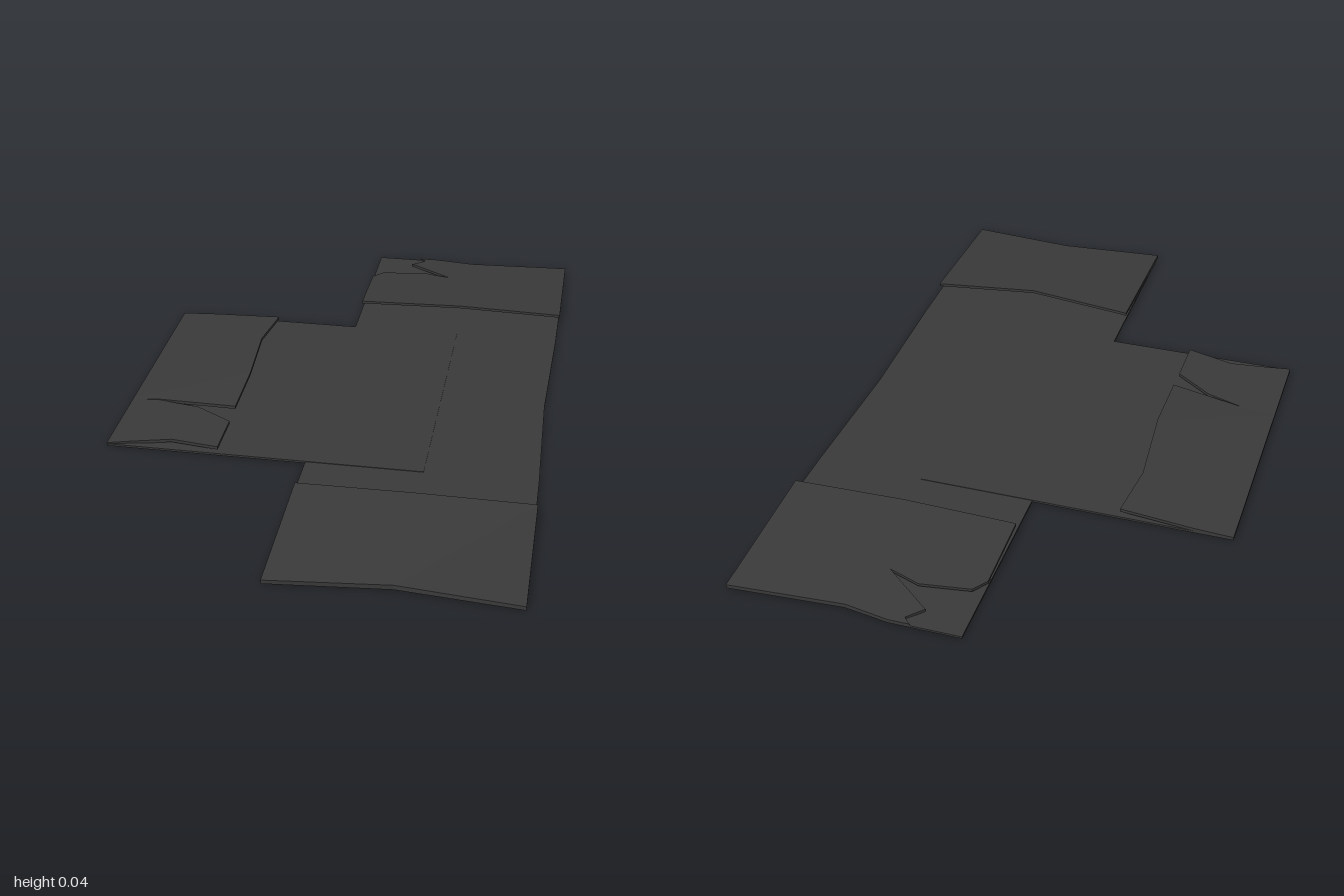
import * as THREE from 'three';

const material = new THREE.MeshStandardMaterial({ color: 0x3a3a3a, flatShading: true, side: THREE.DoubleSide });
const lerp = THREE.MathUtils.lerp;

// Thin sheet with a plan outline of [x, z] points, its top following height(x, z)
function sheet(name, outline, thickness, height) {
  const shape = new THREE.Shape(outline.map(([x, z]) => new THREE.Vector2(x, -z)));
  const geometry = new THREE.ExtrudeGeometry(shape, { depth: 1, bevelEnabled: false });
  geometry.rotateX(-Math.PI / 2);
  const p = geometry.attributes.position;
  for (let i = 0; i < p.count; i++) {
    const top = height(p.getX(i), p.getZ(i));
    p.setY(i, Math.max(0, top - thickness * (1 - p.getY(i))));
  }
  geometry.computeVertexNormals();
  const mesh = new THREE.Mesh(geometry, material);
  mesh.name = name;
  return mesh;
}

// Ramp height: low at the outer edge, rising to a crowned inner edge
function ramp(outer, inner, side, crown) {
  return (along, across) => {
    const t = (along - outer) / (inner - outer);
    return lerp(0.011, lerp(crown, side, Math.min(1, across)), t);
  };
}

export function createModel() {
  const group = new THREE.Group();
  const ridge = 0.285;

  // Flat base: a long strip crossed by a shorter one
  group.add(sheet('longStrip', [
    [-0.04, -1], [0.16, -1], [ridge, -0.98], [0.61, -1], [0.605, -0.42], [0.595, 0],
    [0.605, 0.42], [0.61, 1], [ridge, 0.97], [-0.04, 1],
  ], 0.006, () => 0.006));
  group.add(sheet('crossStrip', [
    [-0.61, -0.43], [0.29, -0.43], [0.29, 0.425], [-0.61, 0.425],
  ], 0.006, () => 0.0075));

  // Front flap, split along its ridge
  const frontRamp = ramp(1, 0.58, 0.027, 0.045);
  const frontHeight = (x, z) => frontRamp(z, Math.abs(x - ridge) / 0.325);
  for (const x of [-0.04, 0.61]) {
    group.add(sheet('frontFlap', [
      [x, 0.57], [ridge, 0.592], [ridge, 0.97], [x, 1],
    ], 0.009, frontHeight));
  }

  // Back flap, with one corner torn away
  const backRamp = ramp(-1, -0.57, 0.034, 0.042);
  const backHeight = (x, z) => backRamp(z, Math.abs(x - ridge) / 0.325);
  group.add(sheet('backFlap', [
    [ridge, -0.57], [0.61, -0.57], [0.61, -1], [ridge, -0.98],
  ], 0.008, backHeight));
  group.add(sheet('backTornFlap', [
    [-0.04, -0.57], [ridge, -0.57], [ridge, -0.98], [0.16, -1], [0.1, -1], [0.12, -0.98],
    [0.08, -0.94], [0.22, -0.83], [0.13, -0.86], [-0.01, -0.84], [-0.04, -0.8],
  ], 0.008, backHeight));

  // Side flap, crowned at its middle, with a tear near the front
  const sideRamp = ramp(-0.61, -0.29, 0.027, 0.042);
  const sideHeight = (x, z) => sideRamp(x, Math.abs(z) / 0.43);
  group.add(sheet('sideFlapBack', [
    [-0.61, -0.43], [-0.5, -0.43], [-0.29, -0.42], [-0.31, -0.25], [-0.29, 0], [-0.61, 0],
  ], 0.009, sideHeight));
  group.add(sheet('sideFlapMiddle', [
    [-0.61, 0], [-0.29, 0], [-0.29, 0.2], [-0.53, 0.165], [-0.61, 0.165],
  ], 0.009, sideHeight));
  const tornRamp = ramp(-0.61, -0.29, 0.026, 0.03);
  group.add(sheet('sideFlapTorn', [
    [-0.61, 0.165], [-0.53, 0.165], [-0.4, 0.2], [-0.29, 0.275], [-0.29, 0.42],
    [-0.43, 0.39], [-0.54, 0.41], [-0.61, 0.425],
  ], 0.009, (x, z) => tornRamp(x, z / 0.43)));

  return group;
}
